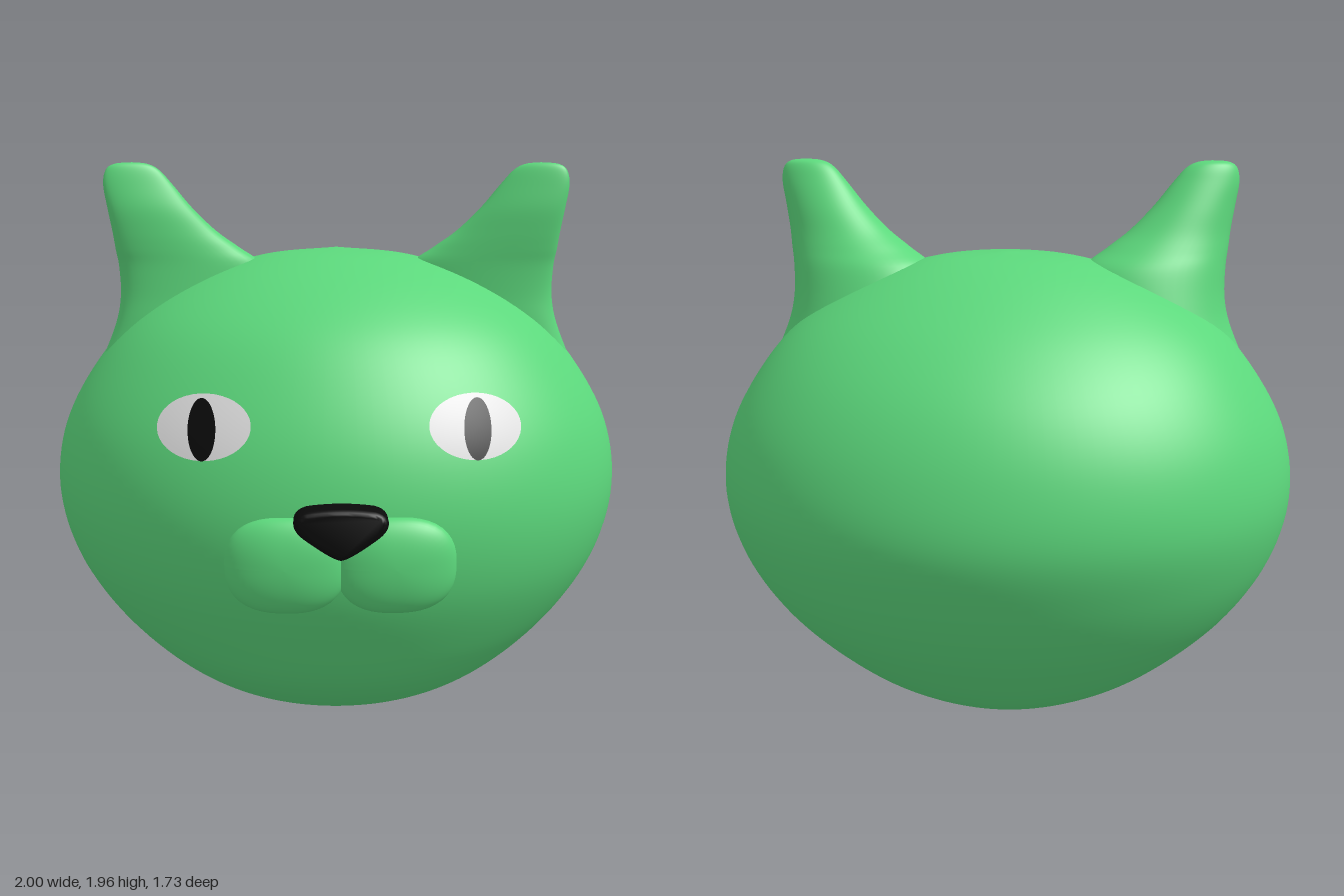
import * as THREE from 'three';
import { mergeVertices, toCreasedNormals } from 'three/addons/utils/BufferGeometryUtils.js';

const V = (x, y, z) => new THREE.Vector3(x, y, z);

// Skin a stack of closed rings with smooth normals
function loft(rings) {
  const n = rings[0].length, index = [];
  for (let i = 0; i < rings.length - 1; i++) {
    for (let j = 0; j < n; j++) {
      const k = (j + 1) % n, a = i * n + j, b = i * n + k;
      index.push(a, b, b + n, a, b + n, a + n);
    }
  }
  let geo = new THREE.BufferGeometry().setFromPoints(rings.flat());
  geo.setIndex(index);
  geo = mergeVertices(geo, 1e-5);
  geo.computeVertexNormals();
  return geo;
}

const ring = (n, fn) => Array.from({ length: n }, (_, j) => fn((j / n) * Math.PI * 2));

// Head profile: y, half width, front z, back z
const headRows = [
  [0, 0, -0.05, -0.05], [0.028, 0.25, 0.16, -0.26], [0.11, 0.47, 0.37, -0.41],
  [0.243, 0.66, 0.55, -0.55], [0.415, 0.83, 0.665, -0.69], [0.615, 0.95, 0.755, -0.8],
  [0.83, 1, 0.785, -0.867], [1.045, 0.97, 0.75, -0.84], [1.245, 0.865, 0.66, -0.75],
  [1.417, 0.715, 0.53, -0.6], [1.55, 0.505, 0.34, -0.42], [1.632, 0.265, 0.13, -0.25],
  [1.66, 0, -0.08, -0.08],
];
const spline = (points) => new THREE.CatmullRomCurve3(points, false, 'catmullrom', 0.5);
const headFront = spline(headRows.map(([y, w, f]) => V(w, y, f)));
const headBack = spline(headRows.map(([y, w, , b]) => V(w, y, b)));
const midZ = (y) => -0.05 - 0.018 * y;

function headGeometry() {
  const rings = [];
  for (let i = 0; i <= 84; i++) {
    const f = headFront.getPoint(i / 84), b = headBack.getPoint(i / 84), m = midZ(f.y);
    rings.push(ring(112, (a) => {
      const c = Math.cos(a);
      return V(f.x * Math.sin(a), f.y, m + c * (c > 0 ? f.z - m : m - b.z));
    }));
  }
  return loft(rings);
}

// Front surface of the head at a given x, y
function headZ(x, y) {
  let lo = 0, hi = 1;
  for (let i = 0; i < 30; i++) {
    const t = (lo + hi) / 2;
    if (headFront.getPoint(t).y < y) lo = t; else hi = t;
  }
  const p = headFront.getPoint(lo), m = midZ(y);
  return m + (p.z - m) * Math.sqrt(Math.max(0, 1 - (x / p.x) ** 2));
}

// Oval patch hugging the front of the head
function patch(cx, cy, rx, ry, tilt, lift) {
  const rings = [];
  for (let i = 0; i <= 8; i++) {
    const r = 1 - i / 8;
    rings.push(ring(40, (a) => {
      const u = rx * r * Math.cos(a), v = ry * r * Math.sin(a);
      const x = cx + u * Math.cos(tilt) - v * Math.sin(tilt);
      const y = cy + u * Math.sin(tilt) + v * Math.cos(tilt);
      return V(x, y, headZ(x, y) + lift);
    }));
  }
  return loft(rings);
}

// Ear sections: y, inner x, outer x, front z, back z
const earRows = [
  [1.25, 0.27, 0.84, 0.13, -0.24], [1.4, 0.26, 0.777, 0.13, -0.2], [1.5, 0.25, 0.756, 0.125, -0.17],
  [1.6, 0.265, 0.757, 0.125, -0.13], [1.66, 0.34, 0.765, 0.128, -0.09], [1.72, 0.42, 0.772, 0.13, -0.055],
  [1.8, 0.5, 0.785, 0.13, -0.02], [1.88, 0.565, 0.797, 0.118, 0.015], [1.93, 0.61, 0.787, 0.105, 0.035],
  [1.95, 0.65, 0.757, 0.09, 0.048], [1.955, 0.7, 0.7, 0.068, 0.068],
];
const earInner = spline(earRows.map(([y, xi, , f]) => V(xi, y, f)));
const earOuter = spline(earRows.map(([y, , xo, , b]) => V(xo, y, b)));

function earGeometry(side) {
  const rings = [];
  for (let i = 0; i <= 50; i++) {
    const p = earInner.getPoint(i / 50), q = earOuter.getPoint(i / 50);
    const cx = (p.x + q.x) / 2, hx = (q.x - p.x) / 2, m = p.z - (p.z - q.z) * 0.35;
    rings.push(ring(48, (a) => {
      const u = Math.sin(side * a), c = Math.cos(a);
      const z = c > 0 ? m + (p.z - m) * Math.pow(c, 0.7) : m + (m - q.z) * c;
      return V(side * (cx + hx * u), p.y, z + 0.08 * hx / 0.25 * (u - 1) / 2);
    }));
  }
  return loft(rings);
}

// Pillow-shaped muzzle half: squarish outline, curved back with the face
function cheekGeometry(side) {
  const geo = new THREE.SphereGeometry(1, 48, 32).rotateX(Math.PI / 2);
  const p = geo.attributes.position;
  for (let i = 0; i < p.count; i++) {
    const x = p.getX(i), y = p.getY(i), z = p.getZ(i);
    const r = Math.hypot(x, y) || 1;
    const k = r / Math.pow(Math.abs(x / r) ** 2.5 + Math.abs(y / r) ** 2.5, 0.4) / r;
    const px = side * 0.172 + x * k * 0.187;
    p.setXYZ(i, px, 0.738 + y * k * 0.152, 0.79 + z * (z > 0 ? 0.062 : 0.08) - 0.15 * px * px);
  }
  geo.computeVertexNormals();
  return geo;
}

// Rounded triangular nose
function noseGeometry() {
  const s = new THREE.Shape();
  s.moveTo(0, 0.79);
  s.quadraticCurveTo(0.025, 0.795, 0.105, 0.855);
  s.quadraticCurveTo(0.15, 0.893, 0.1, 0.908);
  s.quadraticCurveTo(0, 0.923, -0.1, 0.908);
  s.quadraticCurveTo(-0.15, 0.893, -0.105, 0.855);
  s.quadraticCurveTo(-0.025, 0.795, 0, 0.79);
  const geo = new THREE.ExtrudeGeometry(s, {
    depth: 0.06, bevelSize: 0.018, bevelThickness: 0.025, bevelSegments: 5, curveSegments: 10,
  });
  return toCreasedNormals(geo.translate(0, 0, 0.781), 0.9);
}

export function createModel() {
  const material = (name, color) => {
    const m = new THREE.MeshStandardMaterial({ color });
    m.name = name;
    return m;
  };
  const green = material('green', 0x5cd87c);
  const white = material('eye white', 0xe0e0e0);
  const black = material('black', 0x0a0a0a);

  const model = new THREE.Group();
  model.name = 'catHead';
  const add = (name, geo, mat) => {
    const mesh = new THREE.Mesh(geo, mat);
    mesh.name = name;
    model.add(mesh);
  };

  add('head', headGeometry(), green);
  add('nose', noseGeometry(), black);
  for (const [label, s] of [['left', 1], ['right', -1]]) {
    add(label + 'Ear', earGeometry(s), green);
    add(label + 'Muzzle', cheekGeometry(s), green);
    add(label + 'Eye', patch(s * 0.428, 1.143, 0.153, 0.098, -s * 0.12, 0.009), white);
    add(label + 'Pupil', patch(s * 0.432, 1.137, 0.045, 0.092, 0, 0.016), black);
  }
  return model;
}
